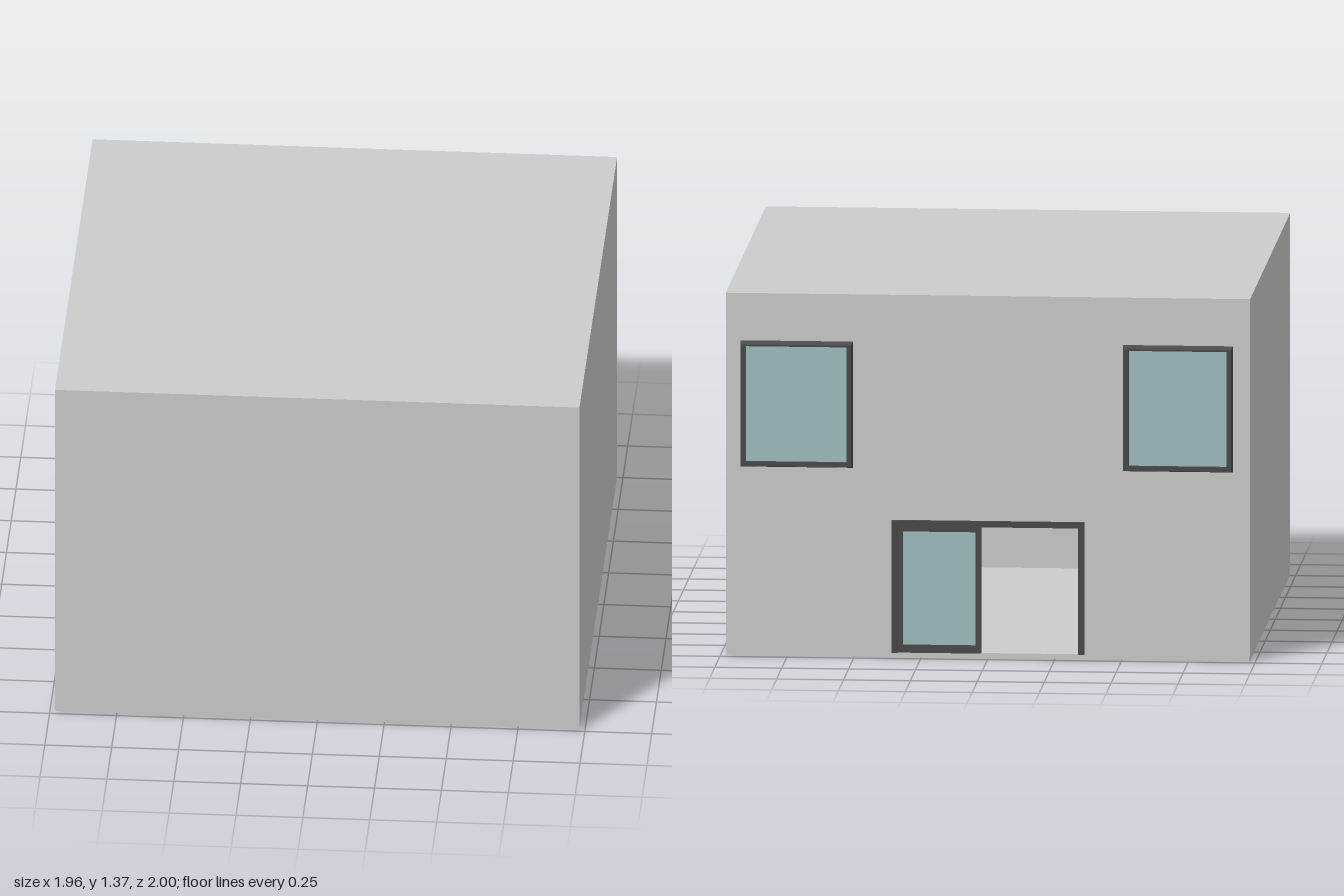
import * as THREE from 'three';

const grey = new THREE.MeshStandardMaterial({ color: 0xcccccc });
const dark = new THREE.MeshStandardMaterial({ color: 0x4a4a4a });
const glass = new THREE.MeshStandardMaterial({ color: 0x9fbfc0 });

const BACK = -0.975, FRONT = 1, SIDE = 0.98, FLOOR = 0.02, TOP = 1.37, WALL = 0.02;

function rect(Type, x0, x1, y0, y1) {
  return new Type([[x0, y0], [x1, y0], [x1, y1], [x0, y1]].map(p => new THREE.Vector2(...p)));
}

function box(name, material, x0, x1, y0, y1, z0, z1) {
  const mesh = new THREE.Mesh(new THREE.BoxGeometry(x1 - x0, y1 - y0, z1 - z0), material);
  mesh.position.set((x0 + x1) / 2, (y0 + y1) / 2, (z0 + z1) / 2);
  mesh.name = name;
  return mesh;
}

// Rectangular ring whose outer edge tapers in towards the outside face (low z)
function frame(name, x0, x1, y0, y1, z0, z1, width, bottomWidth, taper, topTaper) {
  const shape = rect(THREE.Shape, x0, x1, y0, y1);
  shape.holes.push(rect(THREE.Path, x0 + width, x1 - width, y0 + bottomWidth, y1 - width));
  const geo = new THREE.ExtrudeGeometry(shape, { depth: z1 - z0, bevelEnabled: false });
  geo.translate(0, 0, z0);
  const p = geo.attributes.position, near = (a, b) => Math.abs(a - b) < 1e-4;
  for (let i = 0; i < p.count; i++) {
    if (!near(p.getZ(i), z0)) continue;
    const x = p.getX(i), y = p.getY(i);
    if (near(x, x0)) p.setX(i, x + taper);
    if (near(x, x1)) p.setX(i, x - taper);
    if (near(y, y0)) p.setY(i, y + taper);
    if (near(y, y1)) p.setY(i, y - topTaper);
  }
  geo.computeVertexNormals();
  const mesh = new THREE.Mesh(geo, dark);
  mesh.name = name;
  return mesh;
}

export function createModel() {
  const model = new THREE.Group();
  model.name = 'house';

  // Ground slab, storey floor and roof
  model.add(
    box('groundSlab', grey, -SIDE + 0.002, SIDE - 0.002, 0, FLOOR, -0.97, 0.98),
    box('upperFloor', grey, -SIDE + WALL, SIDE - WALL, 0.66, 0.68, BACK + WALL, FRONT - WALL),
    box('roof', grey, -SIDE, SIDE, TOP - WALL, TOP, BACK, FRONT),
  );

  // Plain walls
  const wallTop = TOP - WALL;
  model.add(box('frontWall', grey, -SIDE, SIDE, FLOOR, wallTop, FRONT - WALL, FRONT));
  for (const [name, x] of [['rightWall', -SIDE], ['leftWall', SIDE - WALL]])
    model.add(box(name, grey, x, x + WALL, FLOOR, wallTop, BACK + WALL, FRONT - WALL));

  // Back wall with window and door openings
  const windows = [['leftWindow', 0.5, 0.93], ['rightWindow', -0.92, -0.5]];
  const wallShape = new THREE.Shape([
    [-SIDE, FLOOR], [-0.35, FLOOR], [-0.35, 0.51], [0.35, 0.51],
    [0.35, FLOOR], [SIDE, FLOOR], [SIDE, wallTop], [-SIDE, wallTop],
  ].map(p => new THREE.Vector2(...p)));
  for (const [, x0, x1] of windows)
    wallShape.holes.push(rect(THREE.Path, x0 + 0.015, x1 - 0.015, 0.725, 1.18));
  const wallGeo = new THREE.ExtrudeGeometry(wallShape, { depth: WALL, bevelEnabled: false });
  const backWall = new THREE.Mesh(wallGeo, grey);
  backWall.position.z = BACK;
  backWall.name = 'backWall';
  model.add(backWall);

  // Windows
  for (const [name, x0, x1] of windows) {
    const group = new THREE.Group();
    group.name = name;
    group.add(
      frame('windowFrame', x0, x1, 0.71, 1.2, -1, BACK + WALL, 0.027, 0.027, 0.01, 0.02),
      box('windowPane', glass, x0 + 0.02, x1 - 0.02, 0.73, 1.175, -0.983, -0.973),
    );
    model.add(group);
  }

  // Sliding door: surround, one glazed leaf, the other half open
  const door = new THREE.Group();
  door.name = 'slidingDoor';
  door.add(
    box('doorJamb', dark, -0.36, -0.338, FLOOR, 0.52, -0.99, BACK + WALL),
    box('doorJamb', dark, 0.338, 0.36, FLOOR, 0.52, -0.99, BACK + WALL),
    box('doorHead', dark, -0.338, 0.338, 0.498, 0.52, -0.99, BACK + WALL),
    frame('doorLeafFrame', 0.025, 0.338, FLOOR, 0.498, -0.984, -0.96, 0.02, 0.03, 0, 0),
    box('doorLeafPane', glass, 0.04, 0.325, 0.045, 0.485, -0.977, -0.969),
  );
  model.add(door);

  return model;
}
